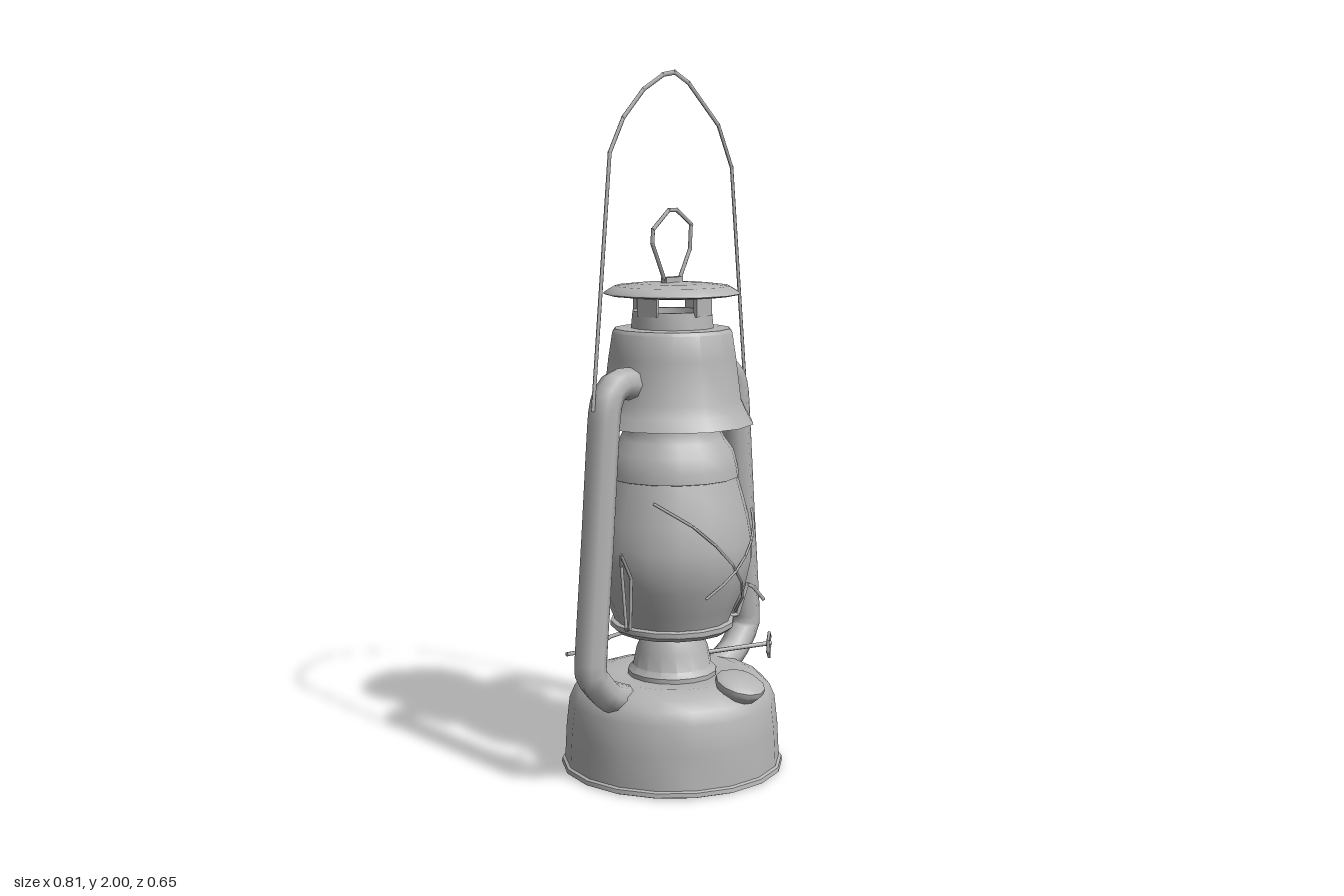
import * as THREE from 'three';
import { mergeGeometries, toCreasedNormals } from 'three/addons/utils/BufferGeometryUtils.js';

const metal = new THREE.MeshStandardMaterial({ color: 0xb4b4b4, side: THREE.DoubleSide });
metal.name = 'grey metal';

const V = (p) => new THREE.Vector3(...p);

function add(parent, name, geometry) {
  const mesh = new THREE.Mesh(geometry, metal);
  mesh.name = name;
  parent.add(mesh);
  return mesh;
}

// turned part from [radius, height] pairs, bottom to top
function turned(profile, sides = 16) {
  const g = new THREE.LatheGeometry(profile.map(([r, y]) => new THREE.Vector2(r, y)), sides);
  return toCreasedNormals(g, 0.62);
}

// bent wire: a thin rod between each pair of points
function wire(points, r = 0.005) {
  const rods = [];
  for (let i = 0; i < points.length - 1; i++) {
    const a = V(points[i]), b = V(points[i + 1]);
    const d = b.clone().sub(a);
    const rod = new THREE.CylinderGeometry(r, r, d.length() + r, 5);
    rod.applyQuaternion(new THREE.Quaternion().setFromUnitVectors(V([0, 1, 0]), d.normalize()));
    rod.translate(...a.add(b).multiplyScalar(0.5).toArray());
    rods.push(rod);
  }
  return mergeGeometries(rods);
}

const globeProfile = [[0.165, 0.43], [0.185, 0.48], [0.218, 0.55], [0.234, 0.62],
  [0.234, 0.67], [0.222, 0.74], [0.203, 0.81], [0.187, 0.865]];

function globeRadius(y) {
  for (let i = 1; i < globeProfile.length; i++) {
    const [r0, y0] = globeProfile[i - 1], [r1, y1] = globeProfile[i];
    if (y <= y1) return r0 + (r1 - r0) * (y - y0) / (y1 - y0);
  }
  return 0.187;
}

// guard wire laid over the globe between two points of its face
function guard(x0, y0, x1, y1, side) {
  const points = [];
  for (let i = 0; i <= 6; i++) {
    const t = i / 6, x = x0 + (x1 - x0) * t, y = y0 + (y1 - y0) * t;
    const r = globeRadius(y) + 0.012;
    points.push([x, y, side * Math.sqrt(Math.max(0, r * r - x * x))]);
  }
  return wire(points, 0.004);
}

export function createModel() {
  const lantern = new THREE.Group();
  lantern.name = 'lantern';

  // fuel tank with a rolled foot
  add(lantern, 'tank', turned([[0, 0.015], [0.305, 0.012], [0.315, 0], [0.324, 0.004], [0.322, 0.016],
    [0.314, 0.02], [0.309, 0.12], [0.3, 0.2], [0.285, 0.235], [0.255, 0.262], [0.2, 0.277],
    [0.15, 0.272], [0, 0.272]], 18));

  // burner and globe seat
  add(lantern, 'burner', turned([[0.13, 0.265], [0.13, 0.285], [0.115, 0.3], [0.105, 0.35], [0.09, 0.385],
    [0.105, 0.395], [0.115, 0.405], [0, 0.405]]));
  add(lantern, 'globeSeat', turned([[0.1, 0.395], [0.165, 0.405], [0.18, 0.418], [0.18, 0.432], [0.165, 0.437], [0, 0.437]]));
  add(lantern, 'globe', turned(globeProfile));
  add(lantern, 'globeCollar', turned([[0.186, 0.855], [0.194, 0.858], [0.19, 0.885], [0.178, 0.93],
    [0.152, 0.965], [0.14, 0.99], [0.14, 1.08]]));

  // crossed guard wires, front and back
  for (const side of [1, -1]) {
    add(lantern, 'guardWireLong', guard(-0.195 * side, 0.81, 0.13 * side, 0.45, side));
    add(lantern, 'guardWireShort', guard(-0.1 * side, 0.54, 0.15 * side, 0.755, side));
  }

  // hood: open flared skirt, shoulder and chimney
  add(lantern, 'hood', turned([[0.14, 1.075], [0.195, 1.07], [0.229, 1.012], [0.236, 1.01], [0.216, 1.045],
    [0.2, 1.08], [0.185, 1.2], [0.174, 1.27], [0.166, 1.28], [0.12, 1.282], [0.115, 1.33],
    [0.1, 1.33], [0.1, 1.29], [0, 1.29]], 14));

  // posts carrying the cap
  for (let i = 0; i < 4; i++) {
    const a = i * Math.PI / 2;
    const post = add(lantern, 'capPost', new THREE.BoxGeometry(0.07, 0.065, 0.012));
    post.position.set(Math.sin(a) * 0.109, 1.35, Math.cos(a) * 0.109);
    post.rotation.y = a;
  }
  add(lantern, 'cap', turned([[0, 1.368], [0.13, 1.368], [0.185, 1.374], [0.196, 1.378], [0.192, 1.384],
    [0.165, 1.4], [0.1, 1.407], [0, 1.41]], 13));

  // lifting ring on the cap
  add(lantern, 'ringClip', new THREE.BoxGeometry(0.075, 0.018, 0.02)).position.set(0, 1.415, 0);
  add(lantern, 'liftRing', wire([[0.036, 1.42, 0], [0.082, 1.5, 0], [0.087, 1.57, 0], [0.02, 1.612, 0], [-0.015, 1.612, 0],
    [-0.085, 1.56, 0], [-0.088, 1.52, 0], [-0.036, 1.42, 0], [0.036, 1.42, 0]], 0.006));

  // air tubes on both sides
  for (const s of [1, -1]) {
    const path = new THREE.CatmullRomCurve3([[0.15, 1.13, 0], [0.225, 1.142, 0], [0.272, 1.125, 0], [0.298, 1.06, 0],
      [0.33, 0.71, 0], [0.362, 0.37, 0], [0.35, 0.33, 0], [0.295, 0.272, 0], [0.21, 0.235, 0]].map(([x, y, z]) => V([x * s, y, z])),
    false, 'catmullrom', 0.25);
    add(lantern, s > 0 ? 'leftAirTube' : 'rightAirTube', new THREE.TubeGeometry(path, 40, 0.045, 8));
  }

  // carrying handle, a flat bent strip
  add(lantern, 'handle', wire([[-0.345, 1.08, 0], [-0.27, 1.77, 0], [-0.212, 1.865, 0], [-0.125, 1.943, 0], [-0.04, 1.985, 0],
    [0.01, 1.993, 0], [0.075, 1.965, 0], [0.215, 1.85, 0], [0.28, 1.73, 0], [0.353, 1.085, 0]], 0.007)).scale.z = 0.6;

  // globe lifting lever and its thumb loop
  add(lantern, 'lever', wire([[-0.39, 0.4, -0.06], [-0.3, 0.397, -0.045], [-0.16, 0.395, -0.1], [0.0, 0.393, -0.11],
    [0.14, 0.393, -0.06], [0.255, 0.4, 0.05], [0.292, 0.488, 0.058], [0.318, 0.475, 0.06], [0.362, 0.43, 0.066]], 0.006));
  add(lantern, 'sideClip', wire([[-0.335, 0.69, 0.09], [-0.3, 0.65, 0.06], [-0.292, 0.47, 0.07],
    [-0.31, 0.48, 0.1], [-0.305, 0.62, 0.1], [-0.335, 0.69, 0.09]], 0.005));

  // wick adjuster
  add(lantern, 'wickShaft', wire([[0.08, 0.32, 0.05], [0.275, 0.325, 0.155]], 0.007));
  add(lantern, 'wickKnob', wire([[0.27, 0.285, 0.155], [0.295, 0.305, 0.14], [0.295, 0.34, 0.14], [0.27, 0.358, 0.155],
    [0.25, 0.34, 0.165], [0.25, 0.305, 0.165], [0.27, 0.285, 0.155]], 0.005));

  // tilted filler cap
  const filler = add(lantern, 'fillerCap', turned([[0.045, -0.05], [0.05, -0.02], [0.062, -0.005], [0.072, 0.01],
    [0.072, 0.025], [0.055, 0.036], [0, 0.038]], 12));
  filler.position.set(0, 0.262, 0.24);
  filler.rotation.x = 0.3;

  return lantern;
}
